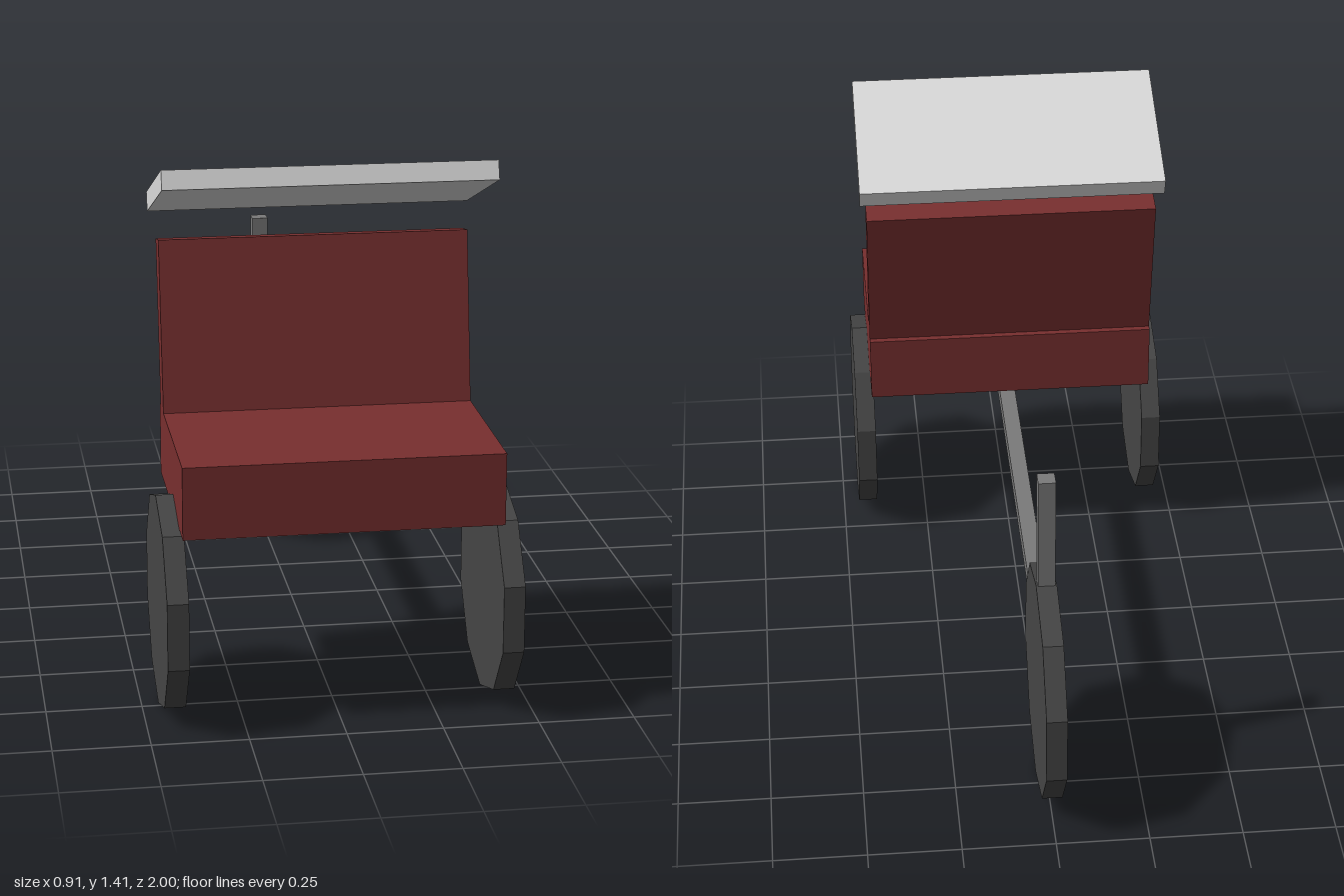
import * as THREE from 'three';

export function createModel() {
  const group = new THREE.Group();
  const paint = (name, color) => {
    const m = new THREE.MeshStandardMaterial({ color, flatShading: true });
    m.name = name;
    return m;
  };
  const red = paint('dark red', 0x782f2f);
  const rubber = paint('charcoal', 0x454545);
  const metal = paint('grey', 0x7a7a7a);
  const canvas = paint('light grey', 0xdadada);

  const add = (name, geometry, material, x, y, z, tilt = 0) => {
    const mesh = new THREE.Mesh(geometry, material);
    mesh.name = name;
    mesh.position.set(x, y, z);
    mesh.rotation.x = tilt;
    group.add(mesh);
  };
  const box = (name, material, w, h, d, y, z, tilt) =>
    add(name, new THREE.BoxGeometry(w, h, d), material, 0, y, z, tilt);

  // Ten-sided wheel standing on a corner, axle along x
  const wheel = (name, r, x, z) => {
    const g = new THREE.CylinderGeometry(r, r, 0.055, 10);
    g.rotateZ(Math.PI / 2).rotateX(Math.PI / 2);
    add(name, g, rubber, x, r, z);
  };
  wheel('leftFrontWheel', 0.286, 0.428, 0.73);
  wheel('rightFrontWheel', 0.286, -0.428, 0.73);
  wheel('rearWheel', 0.315, 0, -0.7);

  // Bench and tilted backrest
  box('seat', red, 0.82, 0.19, 0.55, 0.622, 0.683);
  box('backrest', red, 0.82, 0.48, 0.073, 0.923, 0.427, -0.176);

  // Sloping roof
  box('canopy', canvas, 0.857, 0.051, 0.43, 1.317, 0.511, -0.349);

  // Frame bar and handle post, both ending inside the rear wheel
  box('frameBar', metal, 0.046, 0.046, 1.18, 0.432, -0.01);
  box('handlePost', metal, 0.046, 0.46, 0.046, 0.725, -0.68);

  return group;
}
